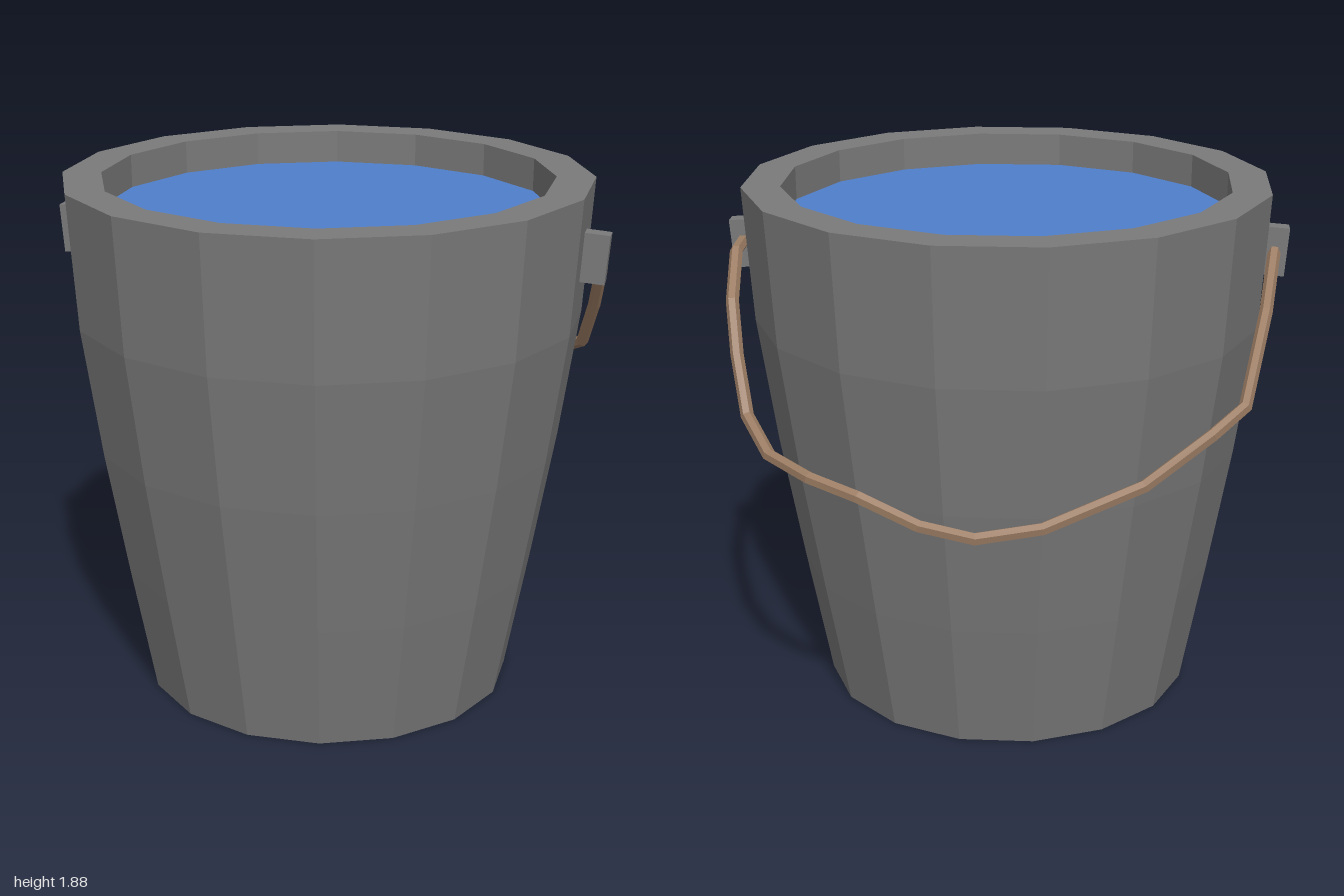
import * as THREE from 'three';

const SIDES = 16;
const HALF_STEP = Math.PI / SIDES;
const CENTRE_Z = 0.036;

function makeMesh(name, geometry, color) {
  const material = new THREE.MeshStandardMaterial({ color, flatShading: true });
  const mesh = new THREE.Mesh(geometry, material);
  mesh.name = name;
  return mesh;
}

export function createModel() {
  const model = new THREE.Group();
  model.name = 'bucket';
  const grey = 0x7a7a7a;

  // Thick-walled body: underside, tapered outside, rim, inside wall, inner floor
  const profile = [
    [0, 0], [0.673, 0], [0.76, 0.47], [0.84, 0.93], [0.907, 1.4], [0.938, 1.88],
    [0.8, 1.88], [0.795, 1.4], [0.6, 0.12], [0, 0.12],
  ].map(([r, y]) => new THREE.Vector2(r, y));
  const body = makeMesh('bucketBody', new THREE.LatheGeometry(profile, SIDES, HALF_STEP), grey);
  body.position.z = CENTRE_Z;
  model.add(body);

  // Water surface just below the rim
  const water = makeMesh('water', new THREE.CircleGeometry(0.799, SIDES, HALF_STEP), 0x4f7fcc);
  water.rotation.x = -Math.PI / 2;
  water.position.set(0, 1.76, CENTRE_Z);
  model.add(water);

  // Handle brackets, leaning with the wall
  for (const [name, side] of [['leftBracket', 1], ['rightBracket', -1]]) {
    const bracket = makeMesh(name, new THREE.BoxGeometry(0.09, 0.175, 0.062), grey);
    bracket.position.set(side * 0.947, 1.64, CENTRE_Z);
    bracket.rotation.z = -side * 0.08;
    model.add(bracket);
  }

  // Rope handle hanging behind the bucket, one straight piece between each pair of points
  const points = [
    [0.95, 1.65, 0.03], [0.955, 1.64, -0.1], [0.94, 1.51, -0.28], [0.91, 1.35, -0.39],
    [0.86, 1.17, -0.51], [0.76, 1.09, -0.67], [0.6, 1.07, -0.82], [0.43, 1.04, -0.9],
    [0.23, 0.96, -0.94], [0.05, 0.91, -0.92], [-0.17, 0.93, -0.87], [-0.5, 1.04, -0.75],
    [-0.72, 1.19, -0.66], [-0.83, 1.26, -0.57], [-0.91, 1.49, -0.23], [-0.95, 1.65, 0.03],
  ].map((p) => new THREE.Vector3(...p));
  const path = new THREE.CatmullRomCurve3(points);
  path.getPointAt = path.getPoint; // sample exactly at the given points
  path.getTangentAt = path.getTangent;
  model.add(makeMesh('ropeHandle', new THREE.TubeGeometry(path, points.length - 1, 0.023, 6), 0x9a7b62));

  return model;
}
